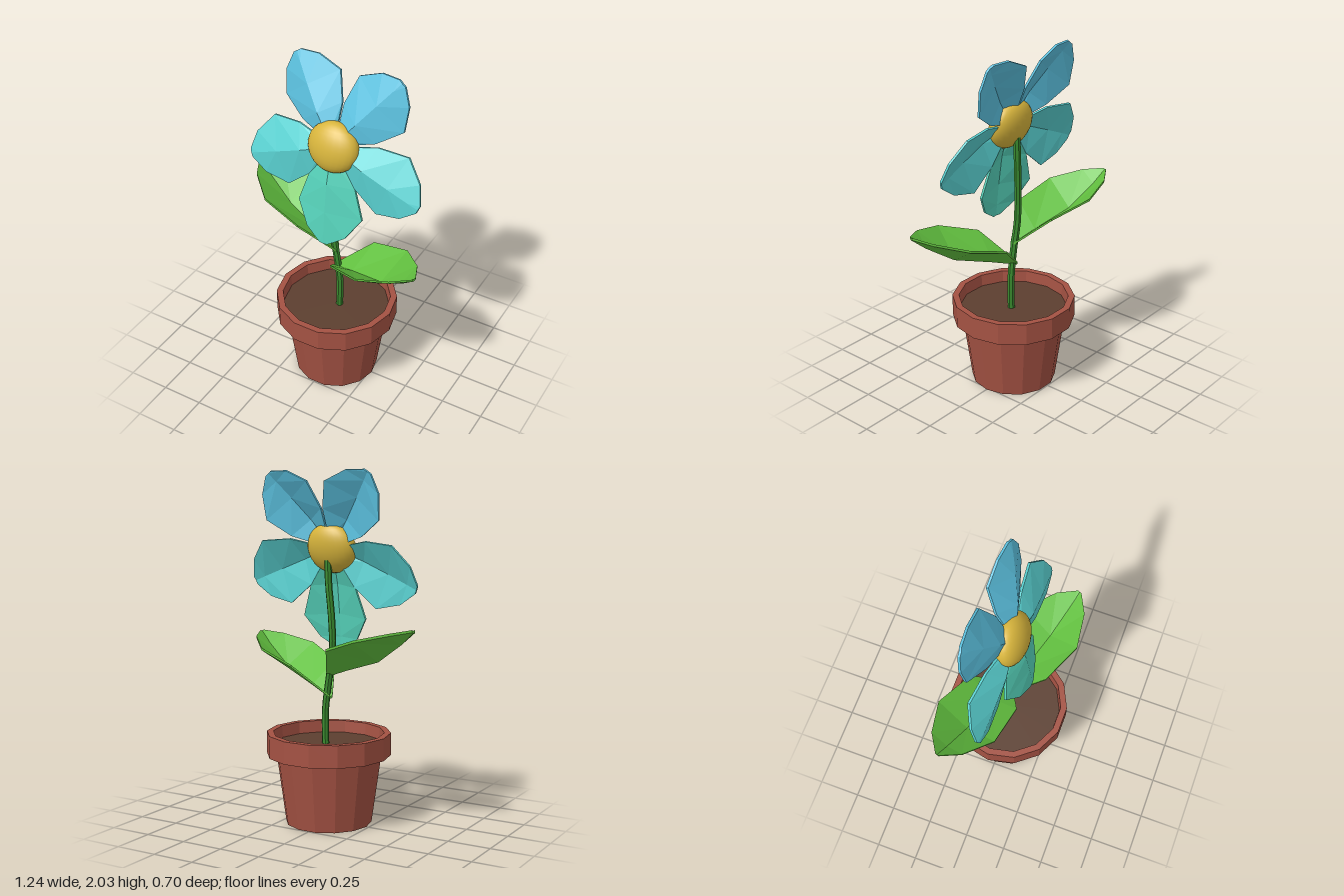
import * as THREE from 'three';

const paint = (name, color) => {
  const m = new THREE.MeshStandardMaterial({ color });
  m.name = name;
  return m;
};

// Separate the faces so every facet gets its own normal
function faceted(geo) {
  const g = geo.index ? geo.toNonIndexed() : geo;
  g.computeVertexNormals();
  return g;
}

// Thin folded blade along +x from rows of [distance, half width, edge height, middle height]
function blade(rows, thick) {
  const pos = [], index = [], n = 6;
  for (const [u, w, edge, mid] of rows) {
    pos.push(u, -w, edge, u, 0, mid, u, w, edge);
    pos.push(u, w, edge - thick, u, 0, mid - thick, u, -w, edge - thick);
  }
  const last = (rows.length - 1) * n;
  for (let i = 0; i < last; i += n) {
    for (let j = 0; j < n; j++) {
      const k = (j + 1) % n;
      const a = i + j, b = i + n + j, c = i + n + k, d = i + k;
      // mirror the diagonals on either side of the fold
      if (j === 0 || j === 4) index.push(a, b, d, b, c, d);
      else index.push(a, b, c, a, c, d);
    }
  }
  for (const [a, b, c, d] of [[0, 1, 4, 5], [1, 2, 3, 4]]) {
    index.push(a, b, c, a, c, d);
    index.push(last + a, last + c, last + b, last + a, last + d, last + c);
  }
  const g = new THREE.BufferGeometry();
  g.setAttribute('position', new THREE.Float32BufferAttribute(pos, 3));
  g.setIndex(index);
  return faceted(g);
}

export function createModel() {
  const model = new THREE.Group();
  model.name = 'pottedFlower';

  const terracotta = paint('terracotta', 0xa45243);
  const earth = paint('earth', 0x5c3f30);
  const stemGreen = paint('stemGreen', 0x398a2e);
  const leafGreen = paint('leafGreen', 0x62c03f);
  const yellow = paint('yellow', 0xd8b53c);
  const blue = paint('blue', 0x5cc2e0);
  const turquoise = paint('turquoise', 0x5ad2d2);
  const seaGreen = paint('seaGreen', 0x56d2ba);

  const add = (parent, name, geo, mat) => {
    const mesh = new THREE.Mesh(geo, mat);
    mesh.name = name;
    parent.add(mesh);
    return mesh;
  };

  // Fourteen-sided pot with a stepped rim
  const sides = 14, turn = Math.PI / sides;
  const profile = [[0, 0], [0.25, 0], [0.305, 0.4], [0.36, 0.4], [0.36, 0.53], [0.322, 0.53], [0.315, 0.45]]
    .map(([r, y]) => new THREE.Vector2(r, y));
  const pot = add(model, 'pot', faceted(new THREE.LatheGeometry(profile, sides, turn)), terracotta);
  pot.position.x = 0.015;
  const soil = add(model, 'soil',
    faceted(new THREE.CylinderGeometry(0.316, 0.316, 0.02, sides, 1, false, turn)), earth);
  soil.position.set(0.015, 0.45, 0);

  // Gently curved stem
  const path = new THREE.CatmullRomCurve3([
    [0.035, 0.44, 0], [0.038, 0.65, 0], [0.015, 0.83, 0], [-0.013, 1.0, -0.005],
    [-0.01, 1.2, -0.012], [0.005, 1.4, -0.02], [0.01, 1.56, -0.018],
  ].map((p) => new THREE.Vector3(...p)));
  add(model, 'stem', faceted(new THREE.TubeGeometry(path, 16, 0.021, 7)), stemGreen);

  // Two leaves folded upward along their middle
  const leafGeo = blade([
    [-0.02, 0.012, 0.01, 0], [0.14, 0.165, 0.18, 0.055], [0.385, 0.195, 0.255, 0.13],
    [0.56, 0.105, 0.3, 0.245], [0.645, 0.012, 0.32, 0.315],
  ], 0.014).rotateX(-Math.PI / 2);
  for (const [name, x, y, angle] of [
    ['leftLeaf', 0.015, 0.74, -0.347], ['rightLeaf', 0.005, 0.865, Math.PI - 0.285],
  ]) {
    const leaf = add(model, name, leafGeo, leafGreen);
    leaf.position.set(x, y, 0);
    leaf.rotation.y = angle;
  }

  // Flower head, leaning back
  const flower = new THREE.Group();
  flower.name = 'flower';
  flower.position.set(0.01, 1.58, -0.005);
  flower.rotation.set(-0.255, -0.025, 0);
  model.add(flower);

  const petalGeo = blade([
    [0.06, 0.04, 0.025, 0.05], [0.21, 0.145, 0.0, 0.055], [0.38, 0.2, -0.025, 0.035],
    [0.51, 0.12, -0.01, 0.015], [0.575, 0.025, 0, 0.003],
  ], 0.014);
  for (const [name, degrees, size, mat] of [
    ['topLeftPetal', 53, 0.96, blue], ['topRightPetal', 125, 0.96, blue],
    ['lowerLeftPetal', -21, 1, turquoise], ['lowerRightPetal', 201, 1, turquoise],
    ['bottomPetal', 270, 1.03, seaGreen],
  ]) {
    const petal = add(flower, name, petalGeo, mat);
    petal.rotation.z = THREE.MathUtils.degToRad(degrees);
    petal.scale.set(size, size, 1);
  }

  // Smooth flattened middle showing on both sides
  const middle = add(flower, 'flowerCentre', new THREE.SphereGeometry(1, 24, 16), yellow);
  middle.scale.set(0.155, 0.145, 0.083);
  middle.position.z = 0.032;

  return model;
}
